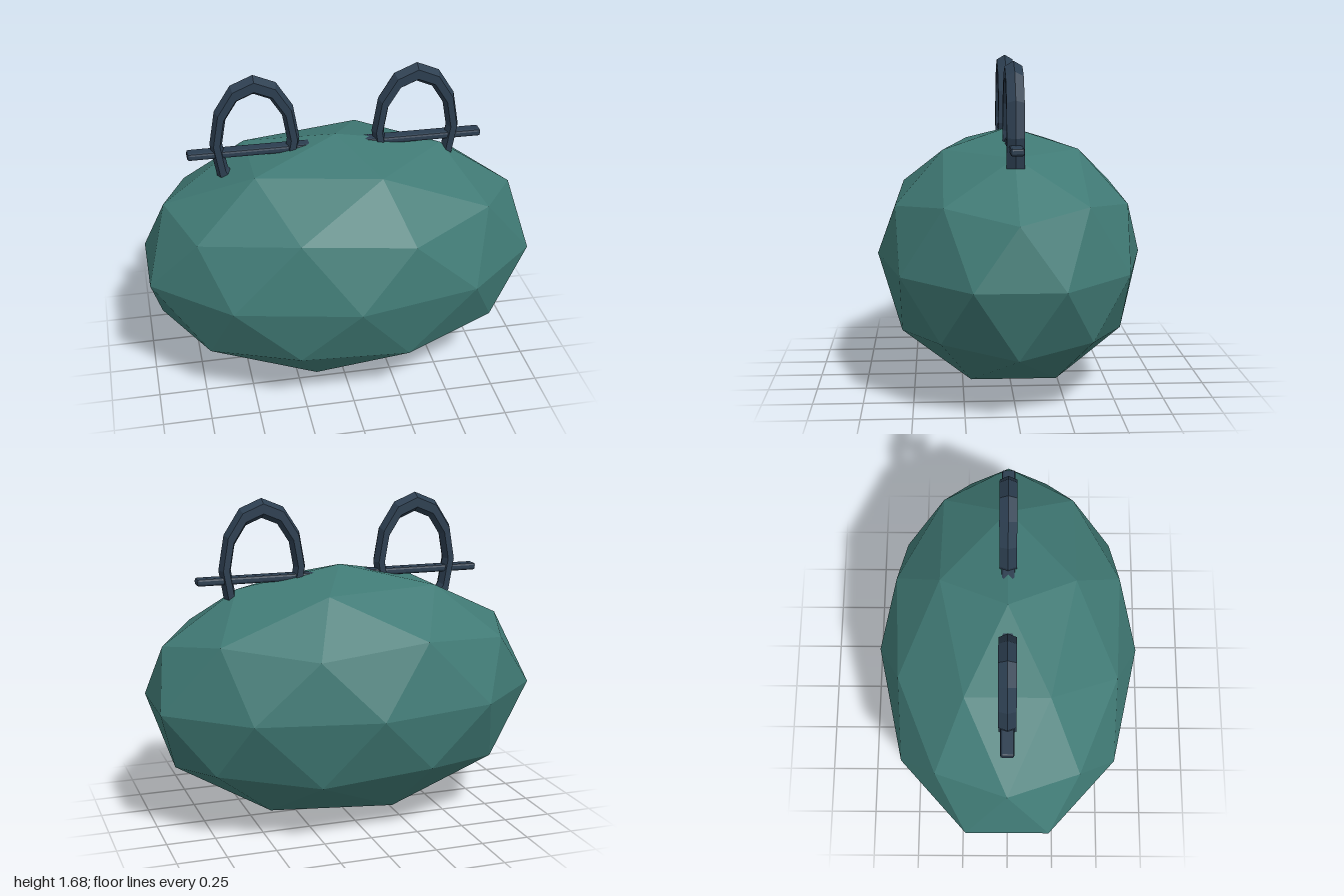
import * as THREE from 'three';
import { RoundedBoxGeometry } from 'three/addons/geometries/RoundedBoxGeometry.js';

const teal = new THREE.MeshStandardMaterial({ name: 'teal', color: 0x407a75 });
const navy = new THREE.MeshStandardMaterial({ name: 'navy', color: 0x2c3e50 });

// Give every face its own normal
function faceted(geometry) {
  const flat = geometry.index ? geometry.toNonIndexed() : geometry;
  flat.computeVertexNormals();
  return flat;
}

// Once-subdivided icosahedron standing on one vertex, stretched to an ellipsoid
function bodyGeometry() {
  const pole = Math.sqrt(5);
  const points = [0, pole, 0];
  const faces = [];
  const ring = (y, start) => {
    for (let k = 0; k < 5; k++) {
      const a = start + (k * Math.PI * 2) / 5;
      points.push(2 * Math.cos(a), y, 2 * Math.sin(a));
    }
  };
  ring(1, 0);
  ring(-1, Math.PI / 5);
  points.push(0, -pole, 0);
  for (let k = 0; k < 5; k++) {
    const n = (k + 1) % 5;
    const u = 1 + k, un = 1 + n, l = 6 + k, ln = 6 + n;
    faces.push(0, un, u, u, un, l, un, ln, l, l, ln, 11);
  }
  const geometry = new THREE.PolyhedronGeometry(points, faces, 1, 1);
  geometry.scale(1.0515, 0.662, 0.69);
  return faceted(geometry);
}

export function createModel() {
  const model = new THREE.Group();
  model.name = 'facetedBodyWithLoops';

  const body = new THREE.Mesh(bodyGeometry(), teal);
  body.name = 'body';
  body.position.y = 0.664;
  model.add(body);

  // Six-sided loop stretched upward, its lower part sunk into the body
  const loopGeometry = new THREE.TorusGeometry(0.196, 0.032, 6, 12);
  loopGeometry.scale(1, 1.56, 1.56);
  const loopFlat = faceted(loopGeometry);

  // Flat bevelled bar through each loop
  const barFlat = faceted(new RoundedBoxGeometry(0.69, 0.038, 0.068, 1, 0.012));

  for (const [side, name] of [[1, 'left'], [-1, 'right']]) {
    const handle = new THREE.Group();
    handle.name = name + 'Handle';
    handle.position.x = side * 0.415;

    const loop = new THREE.Mesh(loopFlat, navy);
    loop.name = name + 'Loop';
    loop.position.y = 1.328;

    const bar = new THREE.Mesh(barFlat, navy);
    bar.name = name + 'Crossbar';
    bar.position.y = 1.276;

    handle.add(loop, bar);
    model.add(handle);
  }
  return model;
}
